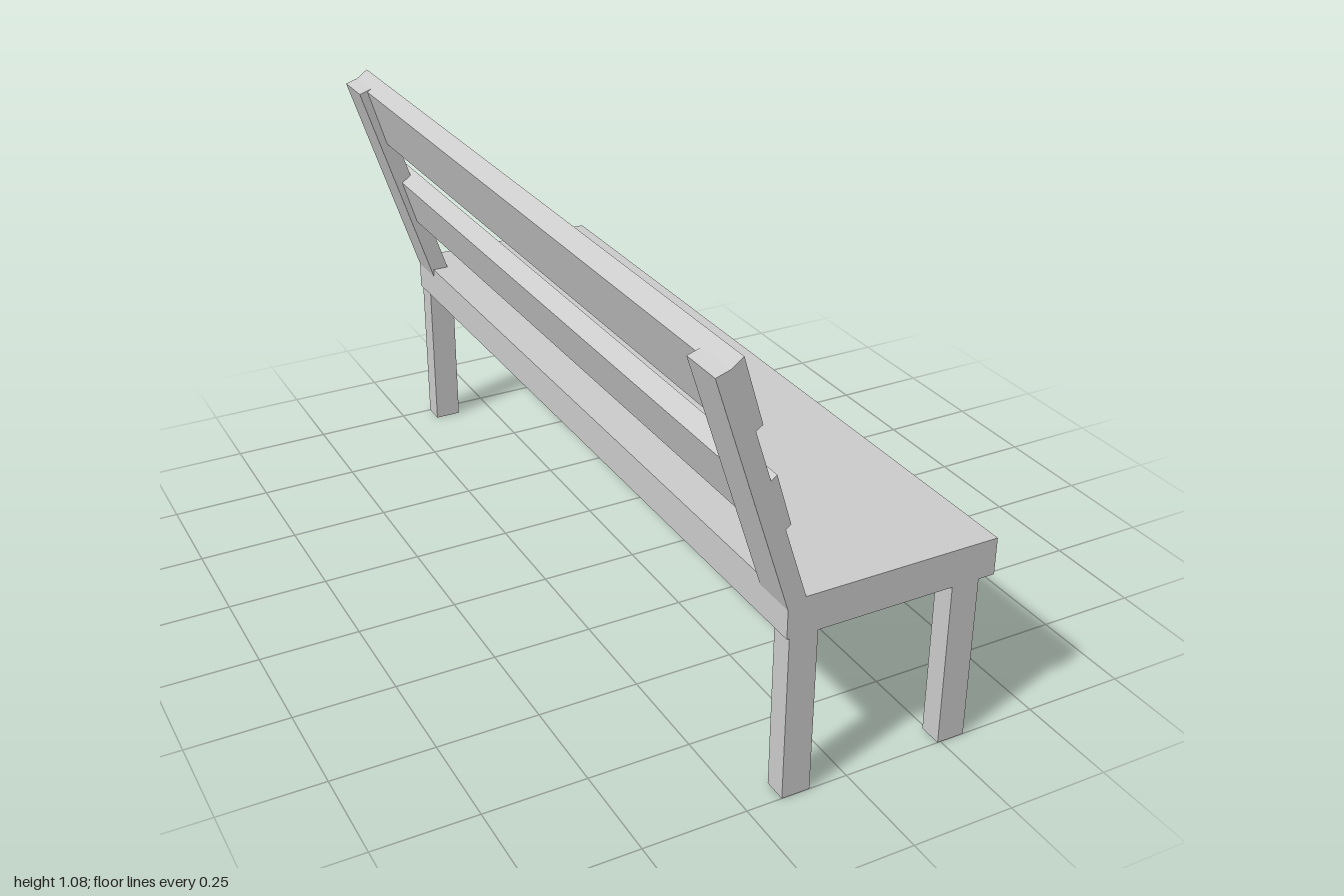
import * as THREE from 'three';

const material = new THREE.MeshStandardMaterial({ color: 0xcccccc, flatShading: true });

// Side profile in x/y, extruded from z0 to z1
function prism(name, points, z0, z1) {
  const shape = new THREE.Shape(points.map(([x, y]) => new THREE.Vector2(x, y)));
  const geometry = new THREE.ExtrudeGeometry(shape, { depth: z1 - z0, bevelEnabled: false });
  geometry.translate(0, 0, z0);
  const mesh = new THREE.Mesh(geometry, material);
  mesh.name = name;
  return mesh;
}

// Box given by its limits on each axis
function block(name, x0, x1, y0, y1, z0, z1) {
  const mesh = new THREE.Mesh(new THREE.BoxGeometry(x1 - x0, y1 - y0, z1 - z0), material);
  mesh.position.set((x0 + x1) / 2, (y0 + y1) / 2, (z0 + z1) / 2);
  mesh.name = name;
  return mesh;
}

// Full-length slat: leaning front edge, with top and bottom sloping down to the back
function slat(name, [tx, ty], [bx, by]) {
  const dx = -0.039, dy = -0.028;
  return prism(name, [[bx, by], [tx, ty], [tx + dx, ty + dy], [bx + dx, by + dy]], -1, 1);
}

export function createModel() {
  const bench = new THREE.Group();
  bench.name = 'bench';

  // Seat
  bench.add(block('seat', -0.17, 0.352, 0.41, 0.501, -1, 1));

  // Legs and leaning back posts at both ends
  const postProfile = [[-0.161, 0.452], [-0.117, 0.467], [-0.308, 1.058], [-0.352, 1.044]];
  for (const [side, sign] of [['left', 1], ['right', -1]]) {
    const span = (inner) => (sign > 0 ? [inner, 1] : [-1, -inner]);
    bench.add(block(side + 'BackLeg', -0.164, -0.095, 0, 0.41, ...span(0.943)));
    bench.add(block(side + 'FrontLeg', 0.242, 0.311, 0, 0.41, ...span(0.943)));
    bench.add(prism(side + 'BackPost', postProfile, ...span(0.892)));
  }

  // Backrest slats
  bench.add(slat('upperSlat', [-0.291, 1.075], [-0.245, 0.922]));
  bench.add(slat('lowerSlat', [-0.209, 0.804], [-0.172, 0.683]));

  return bench;
}
